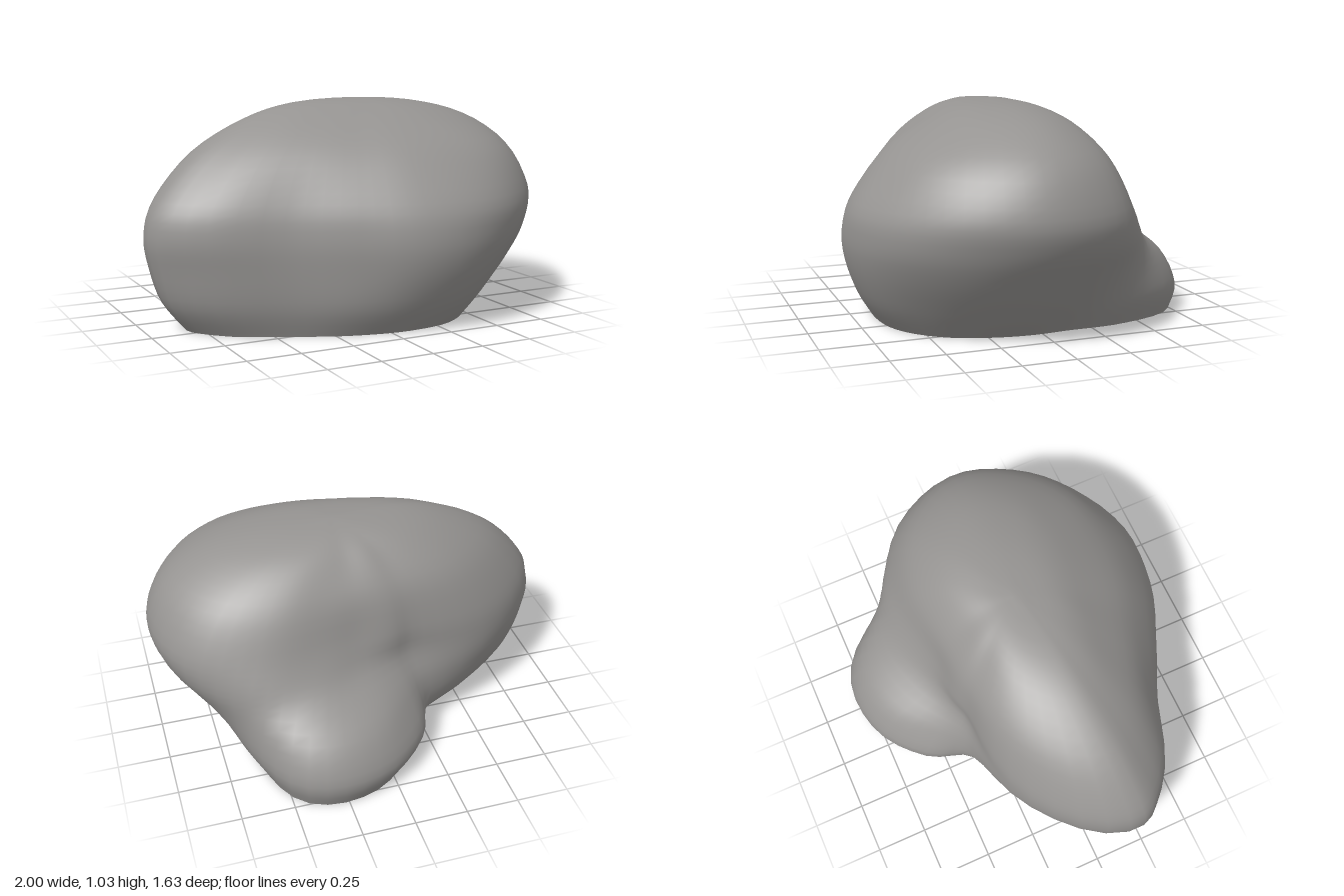
import * as THREE from 'three';

// Horizontal cross-sections of the boulder: height, then radii at 16 angles (degrees)
// around the vertical axis, turning from +x towards +z. Angles bunch up at the nose.
const CENTRE = { x: 0.1, z: 0.05 };
const ANGLES = [0, 22.5, 45, 67.5, 90, 115, 140, 162, 175, 200, 228, 247, 270, 292.5, 315, 337.5];
const SECTIONS = [
  { y: 0.00, r: [0.52, 0.53, 0.57, 0.60, 0.60, 0.62, 0.70, 0.88, 0.91, 0.61, 0.48, 0.60, 0.80, 0.86, 0.69, 0.55] },
  { y: 0.13, r: [0.64, 0.65, 0.67, 0.70, 0.68, 0.68, 0.75, 0.97, 1.02, 0.74, 0.57, 0.70, 0.84, 0.89, 0.76, 0.65] },
  { y: 0.30, r: [0.77, 0.78, 0.78, 0.78, 0.74, 0.70, 0.77, 1.01, 1.08, 0.82, 0.57, 0.60, 0.74, 0.81, 0.77, 0.76] },
  { y: 0.45, r: [0.87, 0.86, 0.84, 0.81, 0.75, 0.70, 0.77, 1.03, 1.10, 0.84, 0.53, 0.48, 0.52, 0.63, 0.75, 0.84] },
  { y: 0.60, r: [0.90, 0.88, 0.83, 0.78, 0.70, 0.66, 0.73, 0.98, 1.05, 0.80, 0.52, 0.46, 0.44, 0.52, 0.68, 0.84] },
  { y: 0.80, r: [0.81, 0.77, 0.70, 0.60, 0.54, 0.52, 0.60, 0.78, 0.86, 0.67, 0.46, 0.40, 0.38, 0.43, 0.56, 0.72] },
  { y: 0.94, r: [0.60, 0.55, 0.45, 0.37, 0.33, 0.33, 0.40, 0.54, 0.60, 0.47, 0.32, 0.28, 0.26, 0.30, 0.39, 0.51] },
  { y: 1.01, r: [0.32, 0.28, 0.23, 0.19, 0.17, 0.18, 0.22, 0.30, 0.34, 0.26, 0.18, 0.15, 0.14, 0.16, 0.20, 0.27] },
  { y: 1.03, r: new Array(16).fill(0) },
];
const AROUND = 64; // columns
const STEPS = 4;   // rows per section

// Catmull-Rom value at t between b and c
function spline(a, b, c, d, t) {
  return b + 0.5 * t * (c - a + t * (2 * a - 5 * b + 4 * c - d + t * (3 * (b - c) + d - a)));
}

// Radius of one section at u, a share of the way round
function radiusAt(section, u) {
  const k = Math.floor(u * 16);
  const [a, b, c, d] = [-1, 0, 1, 2].map((o) => section.r[(k + o + 16) % 16]);
  return spline(a, b, c, d, u * 16 - k);
}

// Angle at u, in radians
function angleAt(u) {
  const k = Math.floor(u * 16);
  const near = [-1, 0, 1, 2].map((o) => ANGLES[(k + o + 16) % 16] + 360 * Math.floor((k + o) / 16));
  return THREE.MathUtils.degToRad(spline(...near, u * 16 - k));
}

// Ring of points at a position between sections
function ring(s) {
  const last = SECTIONS.length - 1;
  const i = Math.min(Math.floor(s), last - 1);
  const near = [-1, 0, 1, 2].map((o) => SECTIONS[THREE.MathUtils.clamp(i + o, 0, last)]);
  const y = spline(...near.map((n) => n.y), s - i);
  return Array.from({ length: AROUND }, (_, j) => {
    const angle = angleAt(j / AROUND);
    const r = Math.max(0, spline(...near.map((n) => radiusAt(n, j / AROUND)), s - i));
    return new THREE.Vector3(CENTRE.x + r * Math.cos(angle), y, CENTRE.z + r * Math.sin(angle));
  });
}

function bodyGeometry() {
  const rows = (SECTIONS.length - 1) * STEPS;
  const points = [];
  const index = [];
  for (let i = 0; i < rows; i++) points.push(...ring(i / STEPS));
  for (let i = 0; i < rows - 1; i++) {
    for (let j = 0; j < AROUND; j++) {
      const a = i * AROUND + j;
      const b = i * AROUND + ((j + 1) % AROUND);
      index.push(a, a + AROUND, b, b, a + AROUND, b + AROUND);
    }
  }
  // Close the crown with a single point
  const apex = points.length;
  points.push(new THREE.Vector3(CENTRE.x, 1.03, CENTRE.z));
  for (let j = 0; j < AROUND; j++) {
    index.push(apex - AROUND + j, apex, apex - AROUND + ((j + 1) % AROUND));
  }
  const geometry = new THREE.BufferGeometry().setFromPoints(points);
  geometry.setIndex(index);
  geometry.computeVertexNormals();
  return geometry;
}

// Flat underside with a sharp edge
function baseGeometry() {
  const outline = ring(0).map((p) => new THREE.Vector2(p.x, p.z));
  return new THREE.ShapeGeometry(new THREE.Shape(outline)).rotateX(Math.PI / 2);
}

export function createModel() {
  const stone = new THREE.MeshStandardMaterial({ color: 0x969492 });
  stone.name = 'stone grey';
  const group = new THREE.Group();
  group.name = 'boulder';
  const body = new THREE.Mesh(bodyGeometry(), stone);
  body.name = 'boulderBody';
  const base = new THREE.Mesh(baseGeometry(), stone);
  base.name = 'flatUnderside';
  group.add(body, base);
  return group;
}
